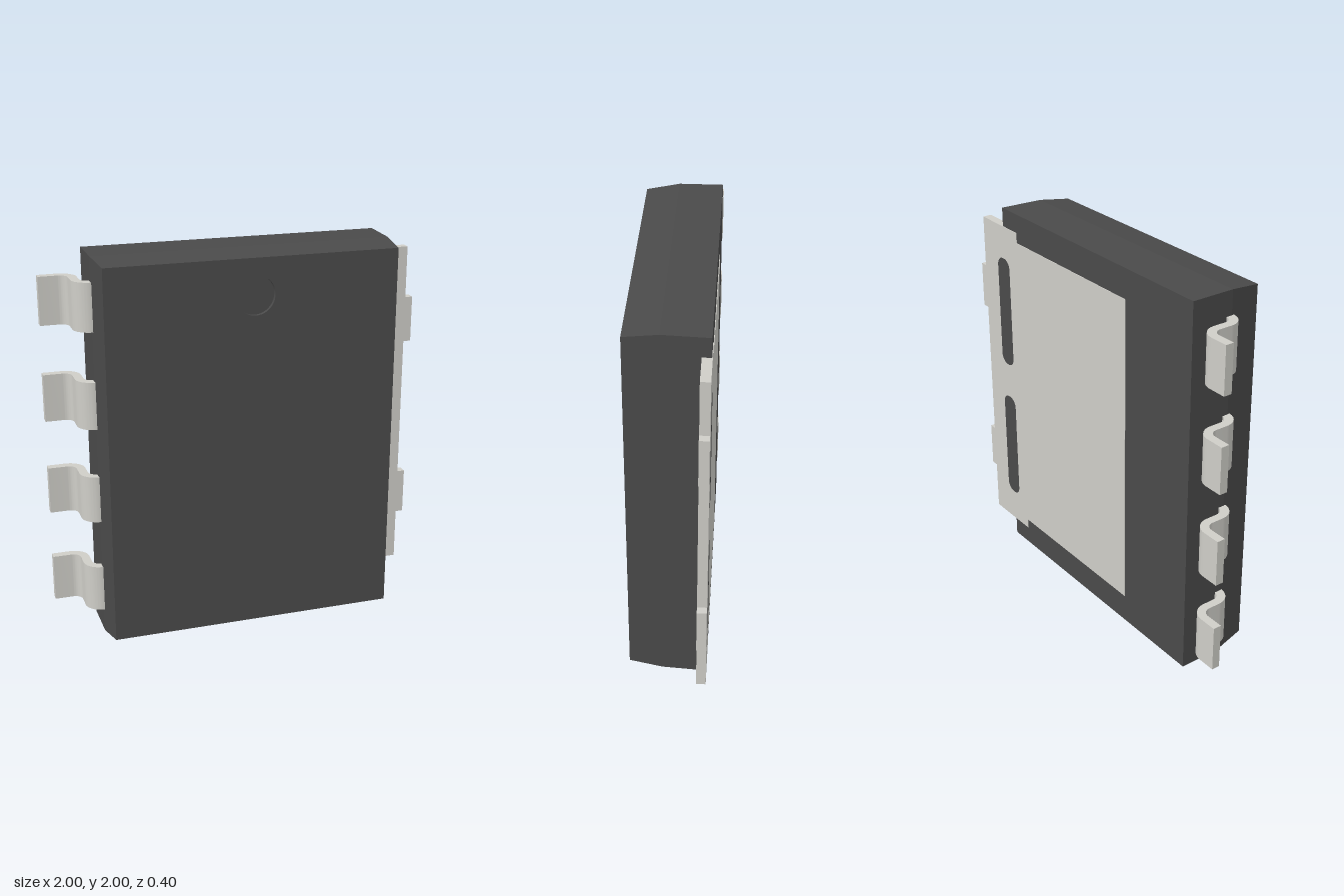
import * as THREE from 'three';
import { toCreasedNormals } from 'three/addons/utils/BufferGeometryUtils.js';

const dark = new THREE.MeshStandardMaterial({ color: 0x4a4a4a });
const metal = new THREE.MeshStandardMaterial({ color: 0xcfcec8 });
const BACK = -0.2, PAD_THICK = 0.048, FRONT = 0.2;
const DIMPLE = { y: 1.79, r: 0.1, depth: 0.02 };
const SLOTS = [0.28, 1.1]; // lower ends of the two slots

function add(parent, name, geometry, material) {
  const mesh = new THREE.Mesh(geometry, material);
  mesh.name = name;
  parent.add(mesh);
  return mesh;
}

const extrude = (shape, depth) => toCreasedNormals(
  new THREE.ExtrudeGeometry(shape, { depth, bevelEnabled: false, curveSegments: 10 }), 0.6);

// Rounded slot outline, drawn on a Shape or a Path
function slotOutline(path, y0) {
  const x0 = 0.72, x1 = 0.832, y1 = y0 + 0.62, r = 0.05;
  path.moveTo(x0 + r, y0);
  path.lineTo(x1 - r, y0);
  path.absarc(x1 - r, y0 + r, r, -Math.PI / 2, 0);
  path.absarc(x1 - r, y1 - r, r, 0, Math.PI / 2);
  path.absarc(x0 + r, y1 - r, r, Math.PI / 2, Math.PI);
  path.absarc(x0 + r, y0 + r, r, Math.PI, Math.PI * 1.5);
  return path;
}

// Tapered sides and back of the moulded body, from rectangular sections
function bodyShell(sections) {
  const loops = sections.map(([z, x0, x1, y0, y1]) =>
    [[x0, y0, z], [x1, y0, z], [x1, y1, z], [x0, y1, z]]);
  const pos = [];
  const quad = (a, b, c, d) => pos.push(...a, ...b, ...c, ...a, ...c, ...d);
  for (let s = 0; s < loops.length - 1; s++) {
    for (let i = 0; i < 4; i++) {
      const j = (i + 1) % 4;
      quad(loops[s][i], loops[s][j], loops[s + 1][j], loops[s + 1][i]);
    }
  }
  const [a, b, c, d] = loops[0];
  quad(d, c, b, a);
  const g = new THREE.BufferGeometry();
  g.setAttribute('position', new THREE.Float32BufferAttribute(pos, 3));
  g.computeVertexNormals();
  return g;
}

function makeBody() {
  const body = new THREE.Group();
  body.name = 'body';
  add(body, 'bodyShell', bodyShell([
    [-0.197, -0.777, 0.77, 0, 2],
    [0.03, -0.777, 0.756, 0, 2],
    [FRONT, -0.753, 0.745, 0.028, 1.976],
  ]), dark);

  // Front face with a round opening
  const face = new THREE.Shape([[-0.753, 0.028], [0.745, 0.028], [0.745, 1.976], [-0.753, 1.976]]
    .map(p => new THREE.Vector2(...p)));
  face.holes.push(new THREE.Path().absarc(0, DIMPLE.y, DIMPLE.r, 0, Math.PI * 2, true));
  add(body, 'frontFace', new THREE.ShapeGeometry(face, 20), dark).position.z = FRONT;

  // Shallow round marker
  const wall = new THREE.CylinderGeometry(DIMPLE.r, DIMPLE.r, DIMPLE.depth, 40, 1, true).rotateX(Math.PI / 2);
  const wallMaterial = dark.clone();
  wallMaterial.side = THREE.DoubleSide;
  add(body, 'markerWall', wall, wallMaterial).position.set(0, DIMPLE.y, FRONT - DIMPLE.depth / 2);
  add(body, 'markerFloor', new THREE.CircleGeometry(DIMPLE.r, 40), dark)
    .position.set(0, DIMPLE.y, FRONT - DIMPLE.depth);

  // Moulding that fills the pad slots
  for (const y0 of SLOTS) {
    add(body, 'slotFill', extrude(slotOutline(new THREE.Shape(), y0), PAD_THICK), dark).position.z = BACK;
  }
  return body;
}

// Stepped heat pad with two outer tabs and two slots
function makePad() {
  const lower = [[-0.29, 0.155], [0.64, 0.155], [0.64, 0.1], [0.96, 0.1],
    [0.96, 0.375], [1, 0.375], [1, 0.62], [0.96, 0.62]];
  const upper = lower.map(([x, y]) => [x, 2 - y]).reverse();
  const shape = new THREE.Shape([...lower, ...upper].map(p => new THREE.Vector2(...p)));
  for (const y0 of SLOTS) shape.holes.push(slotOutline(new THREE.Path(), y0));
  return extrude(shape, PAD_THICK);
}

// S-bent lead, profile in x and -z, swept upward
function makeLead() {
  const q = Math.PI / 2, t = 0.044, ri = 0.044, ro = ri + t;
  const s = new THREE.Shape();
  s.moveTo(-1, 0.198);
  s.lineTo(-0.905, 0.198);
  s.absarc(-0.905, 0.11, ro, q, 0, true);
  s.absarc(-0.773, 0.045, ri, 2 * q, 3 * q, false);
  s.lineTo(-0.75, 0.001);
  s.lineTo(-0.75, 0.001 - t);
  s.absarc(-0.773, 0.045, ro, 3 * q, 2 * q, true);
  s.absarc(-0.905, 0.11, ri, 0, q, false);
  s.lineTo(-1, 0.154);
  return extrude(s, 0.246).rotateX(-Math.PI / 2);
}

export function createModel() {
  const model = new THREE.Group();
  model.name = 'powerPackage';
  model.add(makeBody());
  add(model, 'heatPad', makePad(), metal).position.z = BACK;
  const lead = makeLead();
  for (let i = 0; i < 4; i++) {
    add(model, 'lead', lead, metal).position.y = 0.129 + i * 0.5;
  }
  return model;
}
